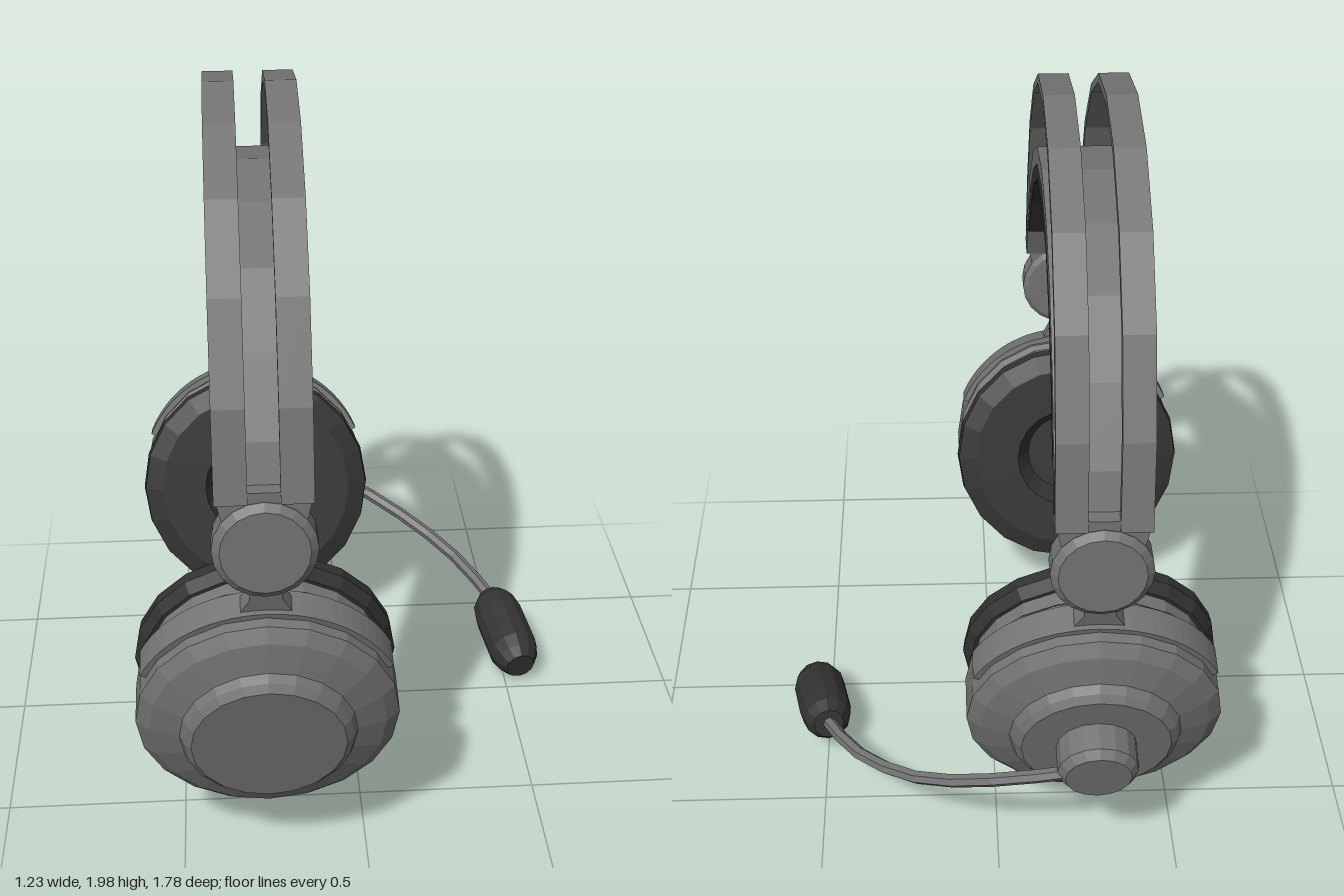
import * as THREE from 'three';

const grey = new THREE.MeshStandardMaterial({ color: 0x747474 });
grey.name = 'grey plastic';
const dark = new THREE.MeshStandardMaterial({ color: 0x333333 });
dark.name = 'dark padding';

// Faceted mesh: one normal per face
function part(name, geometry, material, parent) {
  const g = geometry.index ? geometry.toNonIndexed() : geometry;
  g.computeVertexNormals();
  const mesh = new THREE.Mesh(g, material);
  mesh.name = name;
  parent.add(mesh);
  return mesh;
}

const vectors = (pts) => pts.map(([x, y]) => new THREE.Vector2(x, y));

// Turned solid along +z from [radius, z] points
const turned = (pts, sides = 20) => new THREE.LatheGeometry(vectors(pts), sides).rotateX(Math.PI / 2);

// Arch symmetric in z, from [z, y] points of its outer and inner edges, extruded along x
function arch(outer, inner, x, width) {
  const whole = (half) => [...half.slice(1).reverse().map(([z, y]) => [-z, y]), ...half];
  const shape = new THREE.Shape(vectors([...whole(outer), ...whole(inner).reverse()]));
  return new THREE.ExtrudeGeometry(shape, { depth: width, bevelEnabled: false })
    .translate(0, 0, -width / 2).rotateY(-Math.PI / 2).translate(x, 0, 0);
}

// Flat outline in x and y, extruded from z0 to z1
const plate = (shape, z0, z1) => new THREE.ExtrudeGeometry(shape,
  { depth: z1 - z0, bevelEnabled: false, curveSegments: 14 }).translate(0, 0, z0);

function createEarSide(name) {
  const side = new THREE.Group();
  side.name = name;

  // Band foot and round hinge
  part('bandFoot', plate(new THREE.Shape(vectors(
    [[-0.1, 1.08], [0.1, 1.08], [0.125, 1.19], [-0.125, 1.19]])), 0.72, 0.783), grey, side);
  part('hingeDisc', turned([[0, 0.71], [0.12, 0.71], [0.135, 0.72], [0.135, 0.785],
    [0.115, 0.802], [0, 0.802]]), grey, side).position.y = 1.03;

  // Tilted ear cup, its axis along local z
  const cup = new THREE.Group();
  cup.name = 'earCup';
  cup.position.set(0, 0.633, 0.13);
  cup.rotation.x = THREE.MathUtils.degToRad(15);
  side.add(cup);
  part('cupShell', turned([[0, 0.455], [0.335, 0.455], [0.35, 0.47], [0.35, 0.6], [0.315, 0.628],
    [0.235, 0.655], [0.225, 0.68], [0.205, 0.697], [0, 0.697]]), grey, cup);
  part('padMount', turned([[0, 0.4], [0.325, 0.4], [0.325, 0.46]]), grey, cup);
  part('earPad', turned([[0, 0.375], [0.125, 0.375], [0.16, 0.315], [0.295, 0.315], [0.35, 0.34],
    [0.355, 0.375], [0.335, 0.407], [0, 0.407]]), dark, cup);

  // Yoke over the top of the cup, with its stem
  const a0 = THREE.MathUtils.degToRad(24);
  const yoke = new THREE.Shape();
  yoke.absarc(0, 0, 0.363, a0, Math.PI - a0, false);
  yoke.absarc(0, 0, 0.33, Math.PI - a0, a0, true);
  part('yoke', plate(yoke, 0.485, 0.57), grey, cup);
  part('yokeStem', plate(new THREE.Shape(vectors(
    [[-0.075, 0.34], [0.075, 0.34], [0.042, 0.4], [0.042, 0.47], [-0.042, 0.47], [-0.042, 0.4]])),
  0.5, 0.555), grey, cup);
  return side;
}

export function createModel() {
  const root = new THREE.Group();
  root.name = 'headset';
  const body = new THREE.Group();
  body.name = 'headsetBody';
  body.position.set(-0.264, 0, 0.04);
  root.add(body);

  // Twin outer bands
  const topOuter = [[0, 2], [0.24, 1.96], [0.46, 1.835], [0.635, 1.645], [0.745, 1.4], [0.79, 1.16]];
  const topInner = [[0, 1.975], [0.235, 1.935], [0.445, 1.815], [0.61, 1.63], [0.718, 1.39], [0.76, 1.16]];
  for (const s of [-1, 1]) {
    part(s > 0 ? 'leftOuterBand' : 'rightOuterBand', arch(topOuter, topInner, s * 0.083, 0.084), grey, body);
  }

  // Inner head band with its cushion
  const bandOuter = [[0, 1.785], [0.235, 1.745], [0.43, 1.64], [0.59, 1.48], [0.705, 1.29], [0.755, 1.15]];
  const bandInner = [[0, 1.735], [0.22, 1.7], [0.405, 1.595], [0.56, 1.455], [0.675, 1.255], [0.715, 1.15]];
  const cushionInner = [[0, 1.685], [0.215, 1.655], [0.38, 1.56], [0.52, 1.425], [0.615, 1.28]];
  part('innerBand', arch(bandOuter, bandInner, 0, 0.25), grey, body);
  part('bandCushion', arch(bandInner.slice(0, 5), cushionInner, 0, 0.248), dark, body);

  // Ear sides at front and back
  body.add(createEarSide('frontEarSide'));
  const back = createEarSide('backEarSide');
  back.rotation.y = Math.PI;
  body.add(back);

  // Microphone pivot on the back cup
  part('microphonePivot', turned([[0.11, 0.69], [0.11, 0.775], [0.09, 0.798], [0, 0.798]], 16),
    grey, back.getObjectByName('earCup'));

  // Curved boom
  const boom = new THREE.CatmullRomCurve3([[-0.22, 0.43, -0.835], [0, 0.37, -0.8], [0.22, 0.277, -0.69],
    [0.4, 0.2, -0.5], [0.505, 0.147, -0.29]].map((p) => new THREE.Vector3(...p)));
  part('microphoneBoom', new THREE.TubeGeometry(boom, 8, 0.019, 6), grey, root);

  // Foam microphone at the boom end
  const start = new THREE.Vector3(0.492, 0.152, -0.325);
  const along = new THREE.Vector3(0.545, 0.082, -0.025).sub(start);
  const l = along.length();
  const mic = part('microphoneFoam', turned([[0, 0], [0.045, 0], [0.068, 0.035], [0.077, 0.09],
    [0.077, l - 0.07], [0.065, l - 0.03], [0.045, l], [0, l]], 12), dark, root);
  mic.position.copy(start);
  mic.quaternion.setFromUnitVectors(new THREE.Vector3(0, 0, 1), along.normalize());

  return root;
}
